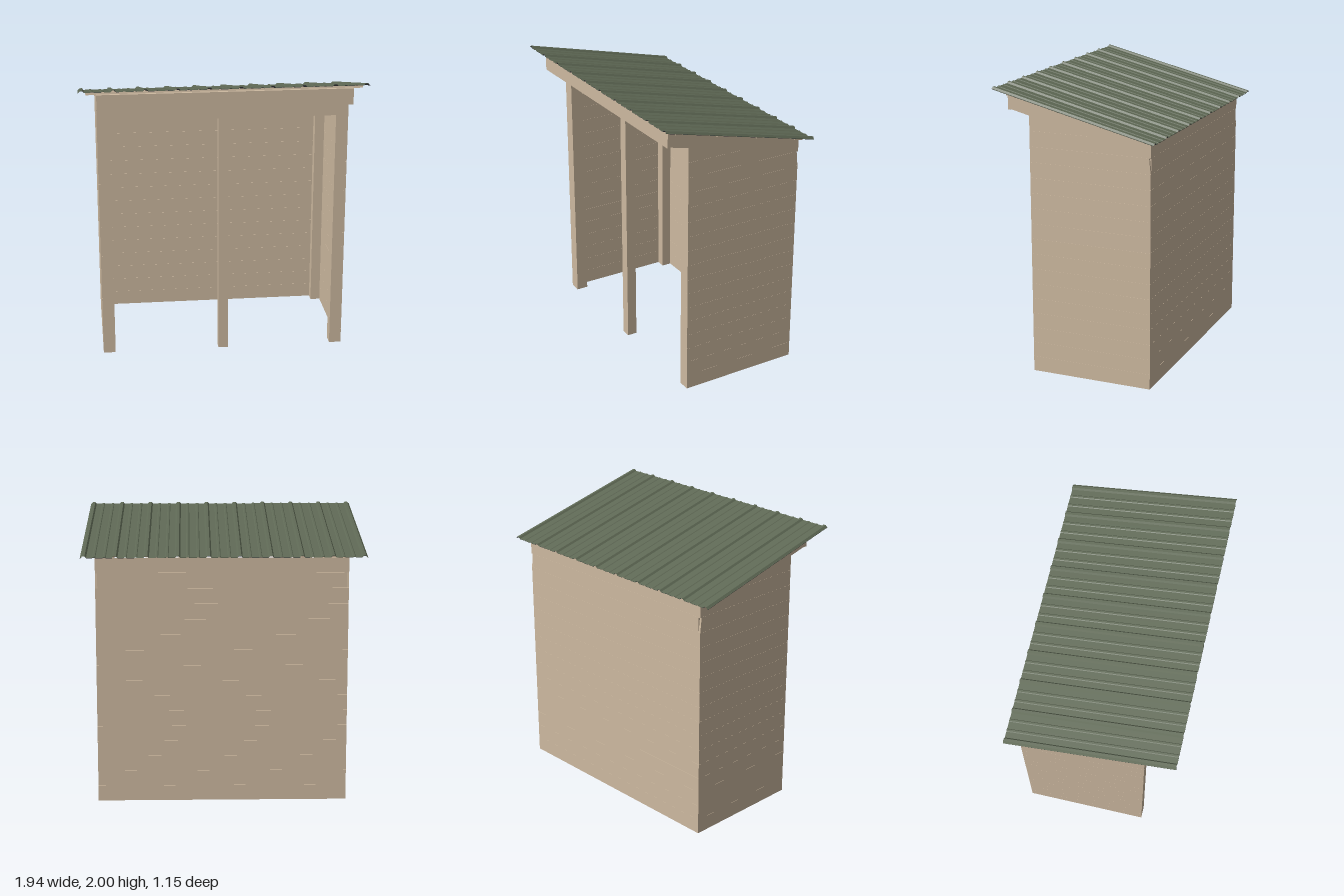
import * as THREE from 'three';

const wood = new THREE.MeshStandardMaterial({ color: 0xcdb9a0 });
const roofGreen = new THREE.MeshStandardMaterial({ color: 0x5f6955 });
const roofUnder = new THREE.MeshStandardMaterial({ color: 0x47494d });

// Main dimensions
const L = -0.85, R = 0.875, MID = (L + R) / 2;
const FRONT = 0.345, BACK = -0.52, CLAD = 0.015, POST = 0.085;
const SLOPE = 0.245, RAFTER = 0.106, PITCH = 0.1065, GAP = 0.0006;
const rafterTop = z => 1.8275 + SLOPE * z;
const rafterBottom = z => rafterTop(z) - RAFTER;
const zAtBottom = y => (y - rafterBottom(0)) / SLOPE;

export function createModel() {
  const model = new THREE.Group();

  const add = (parent, name, geometry, material = wood) => {
    const mesh = new THREE.Mesh(geometry, material);
    mesh.name = name;
    parent.add(mesh);
    return mesh;
  };
  // Box given by its limits on each axis
  const box = (parent, name, x0, x1, y0, y1, z0, z1) => {
    const g = new THREE.BoxGeometry(x1 - x0, y1 - y0, z1 - z0);
    g.translate((x0 + x1) / 2, (y0 + y1) / 2, (z0 + z1) / 2);
    return add(parent, name, g);
  };
  // Side outline of [z, y] points, extruded from x0 to x1
  const sidePlate = (parent, name, points, x0, x1) => {
    const shape = new THREE.Shape(points.map(p => new THREE.Vector2(...p)));
    const g = new THREE.ExtrudeGeometry(shape, { depth: x1 - x0, bevelEnabled: false });
    g.rotateY(-Math.PI / 2).translate(x1, 0, 0);
    return add(parent, name, g);
  };
  const group = name => {
    const g = new THREE.Group();
    g.name = name;
    model.add(g);
    return g;
  };

  // Posts: four corners and one in the middle of the open front
  const posts = group('posts');
  const inL = L + CLAD, inR = R - CLAD;
  for (const [x0, x1] of [[inL, L + POST], [R - POST, inR]]) {
    box(posts, 'frontPost', x0, x1, 0, 1.78, FRONT - POST, FRONT);
    box(posts, 'backPost', x0, x1, 0, 1.605, BACK + CLAD, BACK + POST);
  }
  box(posts, 'middlePost', MID - 0.035, MID + 0.035, 0, 1.78, FRONT - 0.07, FRONT);

  // Beams carrying the rafters
  box(model, 'frontBeam', inL, inR, 1.72, 1.815, FRONT - 0.07, FRONT);
  box(model, 'backBeam', inL, inR, 1.605, 1.64, BACK + CLAD, BACK + POST);

  // Horizontal cladding boards
  const cladding = group('cladding');
  for (let i = 0; i < 17; i++) {
    const y0 = i * PITCH, y1 = y0 + PITCH - GAP;
    if (i < 16) box(cladding, 'backBoard', inL, inR, y0, Math.min(y1, 1.698), BACK, BACK + CLAD);
    const zLow = Math.max(BACK, zAtBottom(y0));
    const zHigh = Math.min(FRONT - 0.002, Math.max(BACK, zAtBottom(y1)));
    const outline = [[zLow, y0], [FRONT, y0], [FRONT, y1], [zHigh, y1]];
    sidePlate(cladding, 'sideBoard', outline, L, inL);
    sidePlate(cladding, 'sideBoard', outline, inR, R);
  }

  // Sloping rafters, the outer two flush with the side walls
  const rafters = group('rafters');
  const eave = 0.48;
  for (let i = -3; i <= 3; i++) {
    const end = Math.abs(i) === 3;
    const x = i === 3 ? R - 0.0165 : i === -3 ? L + 0.0165 : MID + i * 0.279;
    const z0 = end ? BACK : BACK + CLAD;
    sidePlate(rafters, 'rafter', [
      [z0, rafterBottom(z0)], [eave, rafterBottom(eave)],
      [eave, rafterTop(eave)], [z0, rafterTop(z0)],
    ], x - 0.0165, x + 0.0165);
  }
  box(model, 'fascia', L, R, 1.835, 1.948, eave, 0.5);

  // Roof, built flat and then tilted up towards the front
  const roof = group('roof');
  roof.position.y = rafterTop(0);
  roof.rotation.x = -Math.atan(SLOPE);
  for (const z of [0.46, 0.145, -0.17, -0.485])
    box(roof, 'batten', -0.92, 0.94, 0, 0.016, z - 0.033, z + 0.033);

  // Ribbed sheet profile: a tall rib followed by two low ones
  const profile = [[-0.97, 0]];
  const rib = (x, foot, crown, h) =>
    profile.push([x - foot, 0], [x - crown, h], [x + crown, h], [x + foot, 0]);
  for (let k = 0; k < 10; k++) {
    const x = -0.948 + k * 0.2106;
    rib(x, 0.019, 0.009, 0.012);
    if (k < 9) {
      rib(x + 0.0702, 0.011, 0.006, 0.004);
      rib(x + 0.1404, 0.011, 0.006, 0.004);
    }
  }
  profile.push([0.97, 0]);
  const sheet = (name, y0, y1, material) => {
    const lower = profile.map(([x, y]) => new THREE.Vector2(x, y + y0));
    const upper = profile.map(([x, y]) => new THREE.Vector2(x, y + y1)).reverse();
    const length = 1.178;
    const g = new THREE.ExtrudeGeometry(new THREE.Shape([...lower, ...upper]),
      { depth: length, bevelEnabled: false });
    add(roof, name, g.translate(0, 0, -length / 2), material);
  };
  sheet('roofUnderside', 0.016, 0.0172, roofUnder);
  sheet('roofSheet', 0.0172, 0.019, roofGreen);

  return model;
}
